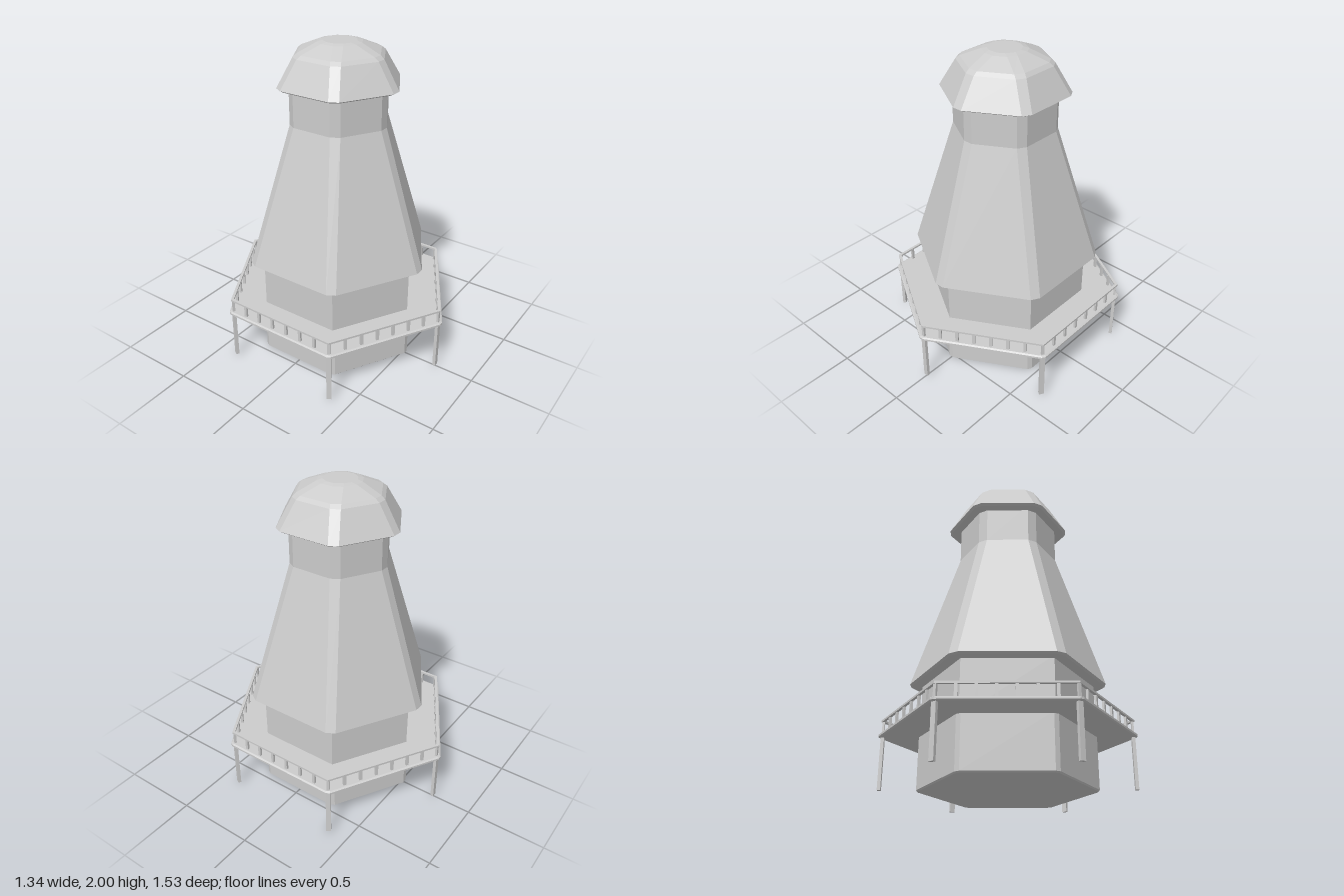
import * as THREE from 'three';

const material = new THREE.MeshStandardMaterial({ color: 0xcccccc, flatShading: true });
const COS30 = Math.cos(Math.PI / 6);
const TAN30 = Math.tan(Math.PI / 6);

// Hexagon with a corner on +z; each corner may be cut by a flat of half-width c
function hexRing(apothem, y, c) {
  const ring = [];
  const r = apothem / COS30 - c * TAN30;
  for (let k = 0; k < 6; k++) {
    const a = (k * Math.PI) / 3;
    for (const t of c > 0 ? [-c, c] : [0]) {
      ring.push([Math.sin(a) * r + Math.cos(a) * t, y, Math.cos(a) * r - Math.sin(a) * t]);
    }
  }
  return ring;
}

// Closed solid through hexagonal sections given as [apothem, y], bottom to top
function hexSolid(name, sections, c) {
  const rings = sections.map(([a, y]) => hexRing(a, y, c));
  const n = rings[0].length;
  const pos = [];
  const tri = (...pts) => pts.forEach((p) => pos.push(...p));
  const top = rings.length - 1;
  for (let j = 0; j < n; j++) {
    const k = (j + 1) % n;
    for (let i = 0; i < top; i++) {
      const lo = rings[i], hi = rings[i + 1];
      tri(lo[j], lo[k], hi[k]);
      tri(lo[j], hi[k], hi[j]);
    }
    tri([0, sections[0][1], 0], rings[0][k], rings[0][j]);
    tri([0, sections[top][1], 0], rings[top][j], rings[top][k]);
  }
  const geo = new THREE.BufferGeometry();
  geo.setAttribute('position', new THREE.Float32BufferAttribute(pos, 3));
  geo.computeVertexNormals();
  const mesh = new THREE.Mesh(geo, material);
  mesh.name = name;
  return mesh;
}

// Hexagonal handrail of constant section
function handrail(outer, inner, y, height) {
  const toPoints = (a) => hexRing(a, 0, 0).map(([x, , z]) => new THREE.Vector2(x, -z));
  const shape = new THREE.Shape(toPoints(outer));
  shape.holes.push(new THREE.Path(toPoints(inner)));
  const geo = new THREE.ExtrudeGeometry(shape, { depth: height, bevelEnabled: false });
  geo.rotateX(-Math.PI / 2);
  geo.translate(0, y, 0);
  const mesh = new THREE.Mesh(geo, material);
  mesh.name = 'handrail';
  return mesh;
}

function post(name, w, h, d, x, y, z, angle) {
  const mesh = new THREE.Mesh(new THREE.BoxGeometry(w, h, d), material);
  mesh.name = name;
  mesh.position.set(x, y + h / 2, z);
  mesh.rotation.y = angle;
  return mesh;
}

export function createModel() {
  const model = new THREE.Group();
  model.name = 'windmillTower';

  // Tower
  model.add(
    hexSolid('lowerBase', [[0.455, 0], [0.463, 0.008], [0.463, 0.33]], 0.015),
    hexSolid('upperBase', [[0.452, 0.3], [0.452, 0.66]], 0),
    hexSolid('taperedBody', [[0.515, 0.642], [0.53, 0.65], [0.285, 1.52], [0.285, 1.78]], 0.03),
    hexSolid('capRoof', [
      [0.335, 1.742], [0.35, 1.752], [0.26, 1.92], [0.238, 1.94], [0.13, 1.992], [0.1, 2],
    ], 0.03),
  );

  // Gallery deck
  const gallery = new THREE.Group();
  gallery.name = 'gallery';
  gallery.add(
    hexSolid('deck', [[0.66, 0.32], [0.67, 0.326], [0.67, 0.338], [0.66, 0.344]], 0.012),
    handrail(0.655, 0.638, 0.418, 0.012),
  );

  // Corner legs and evenly spaced balusters along each side
  const R = 0.742, perSide = 7;
  for (let s = 0; s < 6; s++) {
    const a0 = (s * Math.PI) / 3, a1 = a0 + Math.PI / 3;
    const p0 = new THREE.Vector3(Math.sin(a0) * R, 0, Math.cos(a0) * R);
    const p1 = new THREE.Vector3(Math.sin(a1) * R, 0, Math.cos(a1) * R);
    gallery.add(post('leg', 0.03, 0.32, 0.02, p0.x, 0.01, p0.z, a0));
    for (let i = 0; i < perSide; i++) {
      const p = p0.clone().lerp(p1, i / perSide);
      const angle = i === 0 ? a0 : a0 + Math.PI / 6;
      gallery.add(post('baluster', 0.018, 0.08, 0.014, p.x, 0.341, p.z, angle));
    }
  }
  model.add(gallery);
  return model;
}
